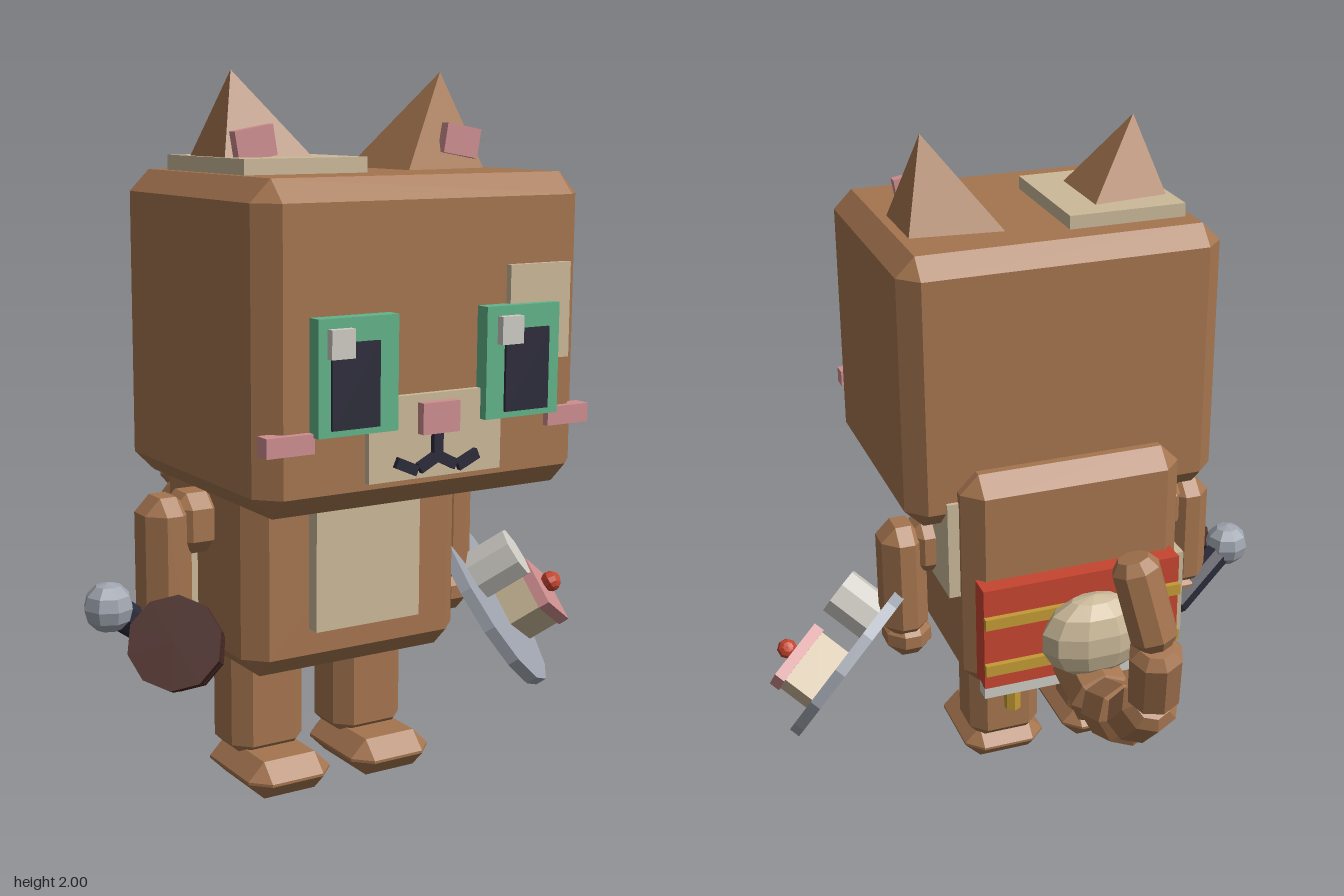
import * as THREE from 'three';
import { ConvexGeometry } from 'three/addons/geometries/ConvexGeometry.js';

const C = -0.09; // x of the figure's own mirror plane
const V = (x, y, z) => new THREE.Vector3(x, y, z);

const mat = (name, color) => {
  const m = new THREE.MeshStandardMaterial({ color });
  m.name = name;
  return m;
};

// Faceted normals for low-poly parts
const flat = (g) => {
  const f = g.index ? g.toNonIndexed() : g;
  f.computeVertexNormals();
  return f;
};

// Box with every edge cut at 45 degrees
function chamferBox(w, h, d, c) {
  const pts = [];
  const x = w / 2, y = h / 2, z = d / 2;
  for (const i of [-1, 1]) for (const j of [-1, 1]) for (const k of [-1, 1]) {
    pts.push(V(i * x, j * (y - c), k * (z - c)));
    pts.push(V(i * (x - c), j * y, k * (z - c)));
    pts.push(V(i * (x - c), j * (y - c), k * z));
  }
  return new ConvexGeometry(pts);
}

// Prism with bevelled ends, running along +y
function bevelRod(r, len, sides = 8) {
  const c = Math.min(0.03, len / 4);
  return flat(new THREE.LatheGeometry([[0, 0], [r * 0.65, 0], [r, c], [r, len - c], [r * 0.65, len], [0, len]]
    .map(([a, b]) => new THREE.Vector2(a, b)), sides));
}

const cyl = (r, h, n) => flat(new THREE.CylinderGeometry(r, r, h, n));
const ball = (r, a = 8, b = 6) => flat(new THREE.SphereGeometry(r, a, b));

export function createModel() {
  const model = new THREE.Group();
  const fur = mat('fur', 0xa5754f), cream = mat('cream', 0xcbb999), green = mat('eye green', 0x62b48a),
    navy = mat('navy', 0x2c2b3a), pink = mat('pink', 0xcf8e8f), white = mat('off white', 0xcfccc5),
    steel = mat('steel', 0x9fa5af), red = mat('red', 0xc6452f), darkWood = mat('dark brown', 0x4c2c26),
    gold = mat('gold', 0xc49a35);

  const add = (name, geo, m, x = 0, y = 0, z = 0, parent = model) => {
    const mesh = new THREE.Mesh(geo, m);
    mesh.name = name;
    mesh.position.set(x, y, z);
    parent.add(mesh);
    return mesh;
  };
  // Plain box given by its limits on each axis
  const slab = (name, m, x0, x1, y0, y1, z0, z1) =>
    add(name, new THREE.BoxGeometry(x1 - x0, y1 - y0, z1 - z0), m, (x0 + x1) / 2, (y0 + y1) / 2, (z0 + z1) / 2);
  // Bevelled rod from one point to another
  const rod = (name, m, a, b, r, sides) => {
    const d = b.clone().sub(a);
    const mesh = add(name, bevelRod(r, d.length(), sides), m, a.x, a.y, a.z);
    mesh.quaternion.setFromUnitVectors(V(0, 1, 0), d.normalize());
    return mesh;
  };

  // Head and body
  add('head', chamferBox(0.98, 0.83, 0.79, 0.057), fur, C, 1.325, 0.377);
  add('body', chamferBox(0.69, 0.71, 0.54, 0.057), fur, C, 0.735, 0.17);

  // Cream patches
  slab('chestPatch', cream, -0.255, 0.077, 0.51, 0.95, 0.42, 0.48);
  slab('leftSidePatch', cream, 0.22, 0.29, 0.69, 1.0, -0.03, 0.19);
  slab('rightSidePatch', cream, -0.46, -0.4, 0.44, 0.72, -0.06, 0.13);
  slab('muzzle', cream, -0.29, 0.113, 0.985, 1.2, 0.75, 0.79);
  slab('browPatch', cream, 0.137, 0.33, 1.26, 1.51, 0.75, 0.79);
  slab('crownPatch', cream, -0.5, -0.14, 1.72, 1.78, 0.11, 0.54);

  // Face: eyes, cheeks, nose and mouth
  for (const [x0, p0, h0] of [[-0.45, -0.415, -0.425], [0.047, 0.103, 0.08]]) {
    slab('eye', green, x0, x0 + 0.23, 1.12, 1.41, 0.75, 0.814);
    slab('pupil', navy, p0, p0 + 0.137, 1.137, 1.35, 0.81, 0.822);
    slab('eyeHighlight', white, h0, h0 + 0.067, 1.313, 1.385, 0.81, 0.836);
  }
  for (const s of [-1, 1]) {
    const x = C + s * 0.423;
    slab('cheek', pink, x - 0.067, x + 0.067, 1.08, 1.13, 0.745, 0.792);
  }
  slab('nose', pink, -0.145, -0.033, 1.1, 1.18, 0.77, 0.815);
  const stroke = (x0, y0, x1, y1) => {
    const len = Math.hypot(x1 - x0, y1 - y0) + 0.012;
    add('mouth', new THREE.BoxGeometry(len, 0.028, 0.03), navy, C + (x0 + x1) / 2, (y0 + y1) / 2, 0.79)
      .rotation.z = Math.atan2(y1 - y0, x1 - x0);
  };
  stroke(0, 1.1, 0, 1.04);

  for (const s of [-1, 1]) {
    stroke(0, 1.04, s * 0.05, 1.015);
    stroke(s * 0.068, 1.01, s * 0.118, 1.032);

    // Ears: leaning pyramids with a pink inner plate
    const e = (x, y, z) => V(C + s * x, y, z);
    add('ear', new ConvexGeometry([e(0.12, 1.73, 0.155), e(0.12, 1.73, 0.472), e(0.407, 1.73, 0.187),
      e(0.407, 1.73, 0.425), e(0.327, 2, 0.317)]), fur);
    add('innerEar', new THREE.BoxGeometry(0.112, 0.08, 0.03), pink, C + s * 0.32, 1.815, 0.425)
      .rotation.z = -s * 0.17;

    // Arms, hands, legs and feet
    add('shoulder', chamferBox(0.14, 0.17, 0.15, 0.04), fur, C + s * 0.385, 0.785, 0.17);
    add('arm', chamferBox(0.138, 0.38, 0.16, 0.045), fur, C + s * 0.47, 0.675, 0.17);
    add('hand', chamferBox(0.14, 0.13, 0.16, 0.045), fur, C + s * 0.46, 0.475, 0.18);
    add('leg', chamferBox(0.23, 0.36, 0.195, 0.045), fur, C + s * 0.168, 0.255, 0.155);
    add('foot', chamferBox(0.263, 0.108, 0.333, 0.05), fur, C + s * 0.168, 0.054, 0.22);
  }

  // Tail: jointed segments curling up
  const tail = [V(C, 0.47, -0.08), V(C, 0.415, -0.34), V(-0.085, 0.505, -0.54), V(-0.07, 0.67, -0.71),
    V(-0.045, 0.89, -0.775), V(0.01, 1.14, -0.73)];
  for (let i = 0; i < 5; i++) rod('tailSegment', fur, tail[i], tail[i + 1], 0.098 - i * 0.008);

  // Back blanket with gold bands, hem, tassels and a round cushion
  slab('blanket', red, -0.4, 0.225, 0.43, 0.765, -0.155, -0.08);
  slab('blanketHem', white, -0.4, 0.225, 0.395, 0.435, -0.155, -0.105);
  for (const y of [0.5, 0.66]) slab('goldBand', gold, -0.4, 0.225, y - 0.018, y + 0.018, -0.173, -0.15);
  for (const s of [-1, 1]) add('sideTassel', cyl(0.025, 0.07, 6), gold, C + s * 0.22, 0.365, -0.13);
  add('tasselCord', cyl(0.018, 0.09, 6), red, C, 0.365, -0.13);
  add('tasselBall', ball(0.034), gold, C, 0.302, -0.13);
  add('cushion', ball(1, 10, 7), cream, C, 0.607, -0.24).scale.set(0.167, 0.135, 0.088);

  // Round shield in the left hand, its face along local +z
  const shield = new THREE.Group();
  shield.name = 'shield';
  shield.setRotationFromMatrix(new THREE.Matrix4().makeBasis(
    V(0.77, -0.45, -0.45).normalize(), V(0.07, 0.65, -0.757).normalize(), V(0.638, 0.55, 0.535).normalize()));
  shield.position.set(0.54, 0.412, 0.193);
  model.add(shield);
  add('shieldDisc', cyl(0.298, 0.035, 14), steel, 0, 0, 0, shield).rotation.x = Math.PI / 2;
  add('shieldKnob', cyl(0.08, 0.16, 8), white, -0.128, 0.03, 0.08, shield).rotation.x = Math.PI / 2;
  add('shieldBlock', new THREE.BoxGeometry(0.185, 0.155, 0.13), cream, 0.107, -0.025, 0.065, shield);
  add('shieldPlate', new THREE.BoxGeometry(0.2, 0.165, 0.035), pink, 0.107, -0.025, 0.137, shield);
  add('shieldBead', ball(0.032), red, 0.107, -0.01, 0.175, shield);

  // Hand tool on the right: handle, steel pommel and a banded barrel head
  rod('toolHandle', navy, V(-0.5, 0.41, 0.11), V(-0.72, 0.57, 0.178), 0.045);
  add('toolPommel', ball(0.07), steel, -0.73, 0.577, 0.178);
  const barrel = new THREE.Group();
  barrel.name = 'barrel';
  barrel.position.set(-0.575, 0.475, 0.295);
  barrel.quaternion.setFromUnitVectors(V(0, 1, 0), V(-0.5, 0.37, 0.78).normalize());
  model.add(barrel);
  add('barrelFront', cyl(0.127, 0.085, 10), darkWood, 0, 0.085, 0, barrel);
  add('barrelBand', cyl(0.113, 0.08, 10), white, 0, 0.005, 0, barrel);
  add('barrelBack', cyl(0.12, 0.06, 10), darkWood, 0, -0.065, 0, barrel);

  return model;
}
